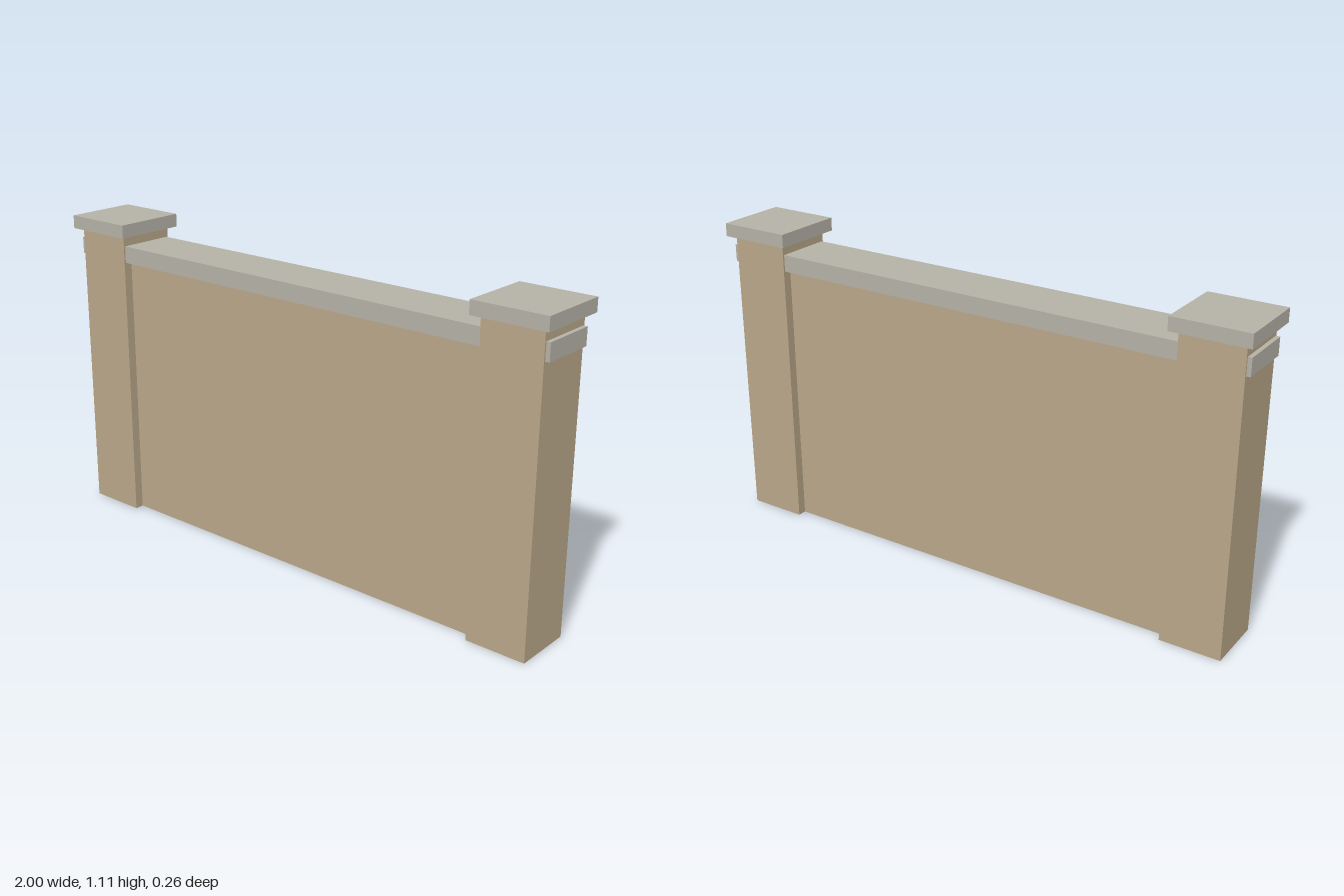
import * as THREE from 'three';

const sandstone = new THREE.MeshStandardMaterial({ color: 0xb8a688 });
sandstone.name = 'sandstone';
const paleStone = new THREE.MeshStandardMaterial({ color: 0xb4b1a6 });
paleStone.name = 'pale stone';

// Box centred on x and z, given its bottom and top heights
function block(name, width, bottom, top, depth, material, x = 0) {
  const mesh = new THREE.Mesh(new THREE.BoxGeometry(width, top - bottom, depth), material);
  mesh.name = name;
  mesh.position.set(x, (bottom + top) / 2, 0);
  return mesh;
}

export function createModel() {
  const model = new THREE.Group();
  model.name = 'gardenWall';

  // Wall panel, with a coping that pokes out through both pillars
  model.add(block('wallPanel', 1.93, 0, 0.965, 0.15, sandstone));
  model.add(block('coping', 1.98, 0.965, 1.025, 0.203, paleStone));

  // End pillars with overhanging caps
  for (const [side, sign] of [['left', 1], ['right', -1]]) {
    const x = sign * 0.868;
    model.add(block(side + 'Pillar', 0.215, 0, 1.062, 0.215, sandstone, x));
    model.add(block(side + 'PillarCap', 0.264, 1.062, 1.109, 0.264, paleStone, x));
  }
  return model;
}
